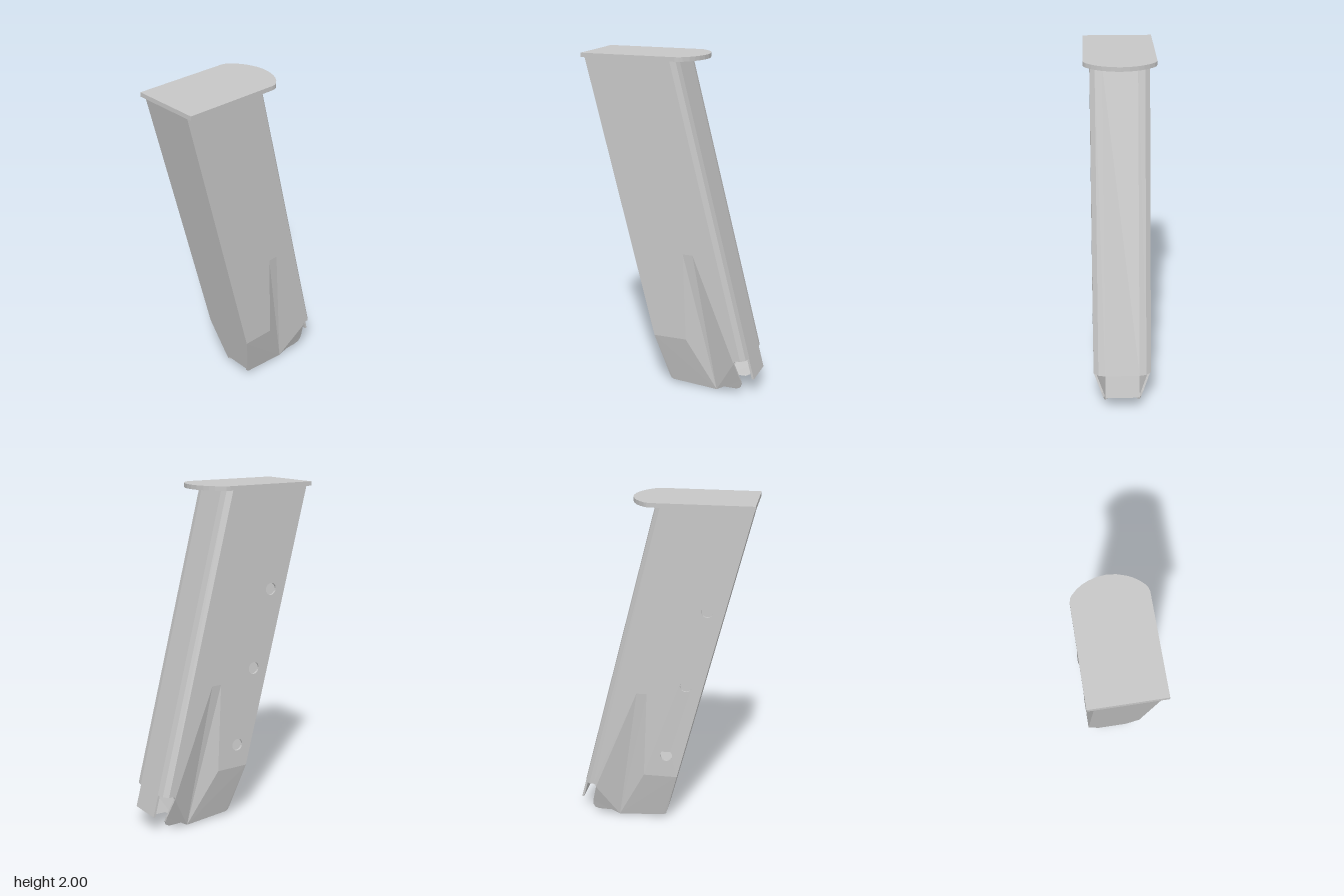
import * as THREE from 'three';

const TOP = 1.975, SLOPE = 0.255, WALL = 0.013, HALF = 0.168, BACK = -0.008;
const lean = (y) => SLOPE * (y - TOP);

// Slant a geometry towards the back as it goes down
function slant(geo) {
  const p = geo.attributes.position;
  for (let i = 0; i < p.count; i++) p.setZ(i, p.getZ(i) + lean(p.getY(i)));
  geo.computeVertexNormals();
  return geo;
}

// Side sheet of even thickness from corners [z, y, x]; side is +1 (left) or -1
function sheet(corners, side, holes = []) {
  const flat = (c) => c.map(([z, y]) => new THREE.Vector2(-z, y));
  const orient = (c, clockwise) =>
    THREE.ShapeUtils.isClockWise(flat(c)) === clockwise ? c : [...c].reverse();
  const outline = orient(corners, false);
  const rims = [outline, ...holes.map((h) => orient(h, true))];
  const all = rims.flat();
  const pos = [];
  const put = (pt, inner) => pos.push(side * (pt[2] - (inner ? WALL : 0)), pt[1], pt[0]);
  const tri = (a, b, c) => {
    for (const [pt, inner] of side > 0 ? [a, b, c] : [a, c, b]) put(pt, inner);
  };
  const faces = THREE.ShapeUtils.triangulateShape(flat(outline), rims.slice(1).map(flat));
  for (const f of faces) {
    let [a, b, c] = f.map((i) => all[i]);
    if (THREE.ShapeUtils.isClockWise(flat([a, b, c]))) [b, c] = [c, b];
    tri([a, false], [b, false], [c, false]);
    tri([a, true], [c, true], [b, true]);
  }
  for (const rim of rims) rim.forEach((a, i) => {
    const b = rim[(i + 1) % rim.length];
    tri([a, false], [a, true], [b, true]);
    tri([a, false], [b, true], [b, false]);
  });
  const geo = new THREE.BufferGeometry();
  geo.setAttribute('position', new THREE.Float32BufferAttribute(pos, 3));
  geo.computeVertexNormals();
  return geo;
}

const roundHole = (z, y, r = 0.036, n = 16) => Array.from({ length: n }, (_, i) => {
  const a = (i / n) * Math.PI * 2;
  return [z + r * Math.cos(a), y + r * Math.sin(a), HALF];
});

export function createModel() {
  const model = new THREE.Group();
  const grey = new THREE.MeshStandardMaterial({
    color: 0xc6c6c6, flatShading: true, side: THREE.DoubleSide,
  });
  grey.name = 'metalGrey';
  const add = (name, geo, parent = model) => {
    const mesh = new THREE.Mesh(geo, grey);
    mesh.name = name;
    parent.add(mesh);
  };

  // Base plate with a rounded back edge
  const half = [[0.205, -0.055], [0.2, -0.078], [0.19, -0.095], [0.16, -0.125],
    [0.13, -0.146], [0.1, -0.161], [0.05, -0.177]];
  const outline = [[-0.205, 0.515], [0.205, 0.515], ...half, [0, -0.182],
    ...half.map(([x, z]) => [-x, z]).reverse()];
  const plate = new THREE.ExtrudeGeometry(
    new THREE.Shape(outline.map(([x, z]) => new THREE.Vector2(x, -z))),
    { depth: 2 - TOP, bevelEnabled: false });
  plate.rotateX(-Math.PI / 2).translate(0, TOP, 0);
  add('basePlate', plate);

  // Front wall, narrowing towards the mouth
  const front = [[-HALF, TOP], [-HALF, 0.33], [-0.095, 0.05], [0.095, 0.05], [HALF, 0.33], [HALF, TOP]];
  const frontGeo = new THREE.ExtrudeGeometry(
    new THREE.Shape(front.map(([x, y]) => new THREE.Vector2(x, y))),
    { depth: WALL, bevelEnabled: false });
  add('frontWall', slant(frontGeo.translate(0, 0, 0.51 - WALL)));

  // Back wall with chamfered corners, extruded down to the notch
  const outer = [[HALF, BACK], [0.14, -0.034], [0.1, -0.043]];
  const inner = [[0.1, -0.03], [0.135, -0.022], [HALF - WALL, BACK]];
  const flip = (pts) => pts.map(([x, z]) => [-x, z]).reverse();
  const ring = [...outer, ...flip(outer), ...flip(inner), ...inner];
  const backGeo = new THREE.ExtrudeGeometry(
    new THREE.Shape(ring.map(([x, z]) => new THREE.Vector2(x, -z))),
    { depth: TOP - 0.24, bevelEnabled: false });
  backGeo.rotateX(-Math.PI / 2).translate(0, 0.24, 0);
  add('backWall', slant(backGeo));

  // Tab below the back wall
  add('backTab', slant(new THREE.BoxGeometry(0.2, 0.13, WALL).translate(0, 0.175, -0.0345)));

  // Side walls: flat panel, tapered mouth, flute and feed lip
  const fluteFront = [-0.09, 0.86, HALF], fluteBack = [-0.15, 0.86, HALF];
  const taperBack = [-0.11, 0.33, HALF], taperFront = [0.51 + lean(0.33), 0.33, HALF];
  const valley = [-0.28, 0, 0.087], notch = [-0.41, 0.22, HALF];
  const panel = [[0.51, TOP, HALF], taperFront, taperBack, fluteFront, fluteBack, notch,
    [-0.414, 0.234, HALF], [-0.425, 0.24, HALF], [BACK + lean(0.24), 0.24, HALF], [BACK, TOP, HALF]];
  const mouth = [taperFront, [0.012, 0.03, 0.09], [-0.002, 0.022, 0.089], valley, taperBack];
  const flute = [fluteFront, taperBack, valley, fluteBack];
  const fluteRear = [fluteBack, valley, notch];
  const lip = [valley, [-0.29, 0.03, 0.096], [-0.41, 0.033, 0.1], [-0.433, 0.045, 0.105],
    [-0.443, 0.07, 0.113], [-0.44, 0.1, 0.124], notch];
  const holes = [1.387, 0.925, 0.47].map((y) => roundHole(0.41 + lean(y), y));

  for (const side of [1, -1]) {
    const wall = new THREE.Group();
    wall.name = side > 0 ? 'leftWall' : 'rightWall';
    model.add(wall);
    // Only the right wall has the row of round holes
    add('sidePanel', sheet(panel, side, side < 0 ? holes : []), wall);
    add('mouthTaper', sheet(mouth, side), wall);
    add('flute', sheet(flute, side), wall);
    add('fluteRear', sheet(fluteRear, side), wall);
    add('feedLip', sheet(lip, side), wall);
  }
  return model;
}
